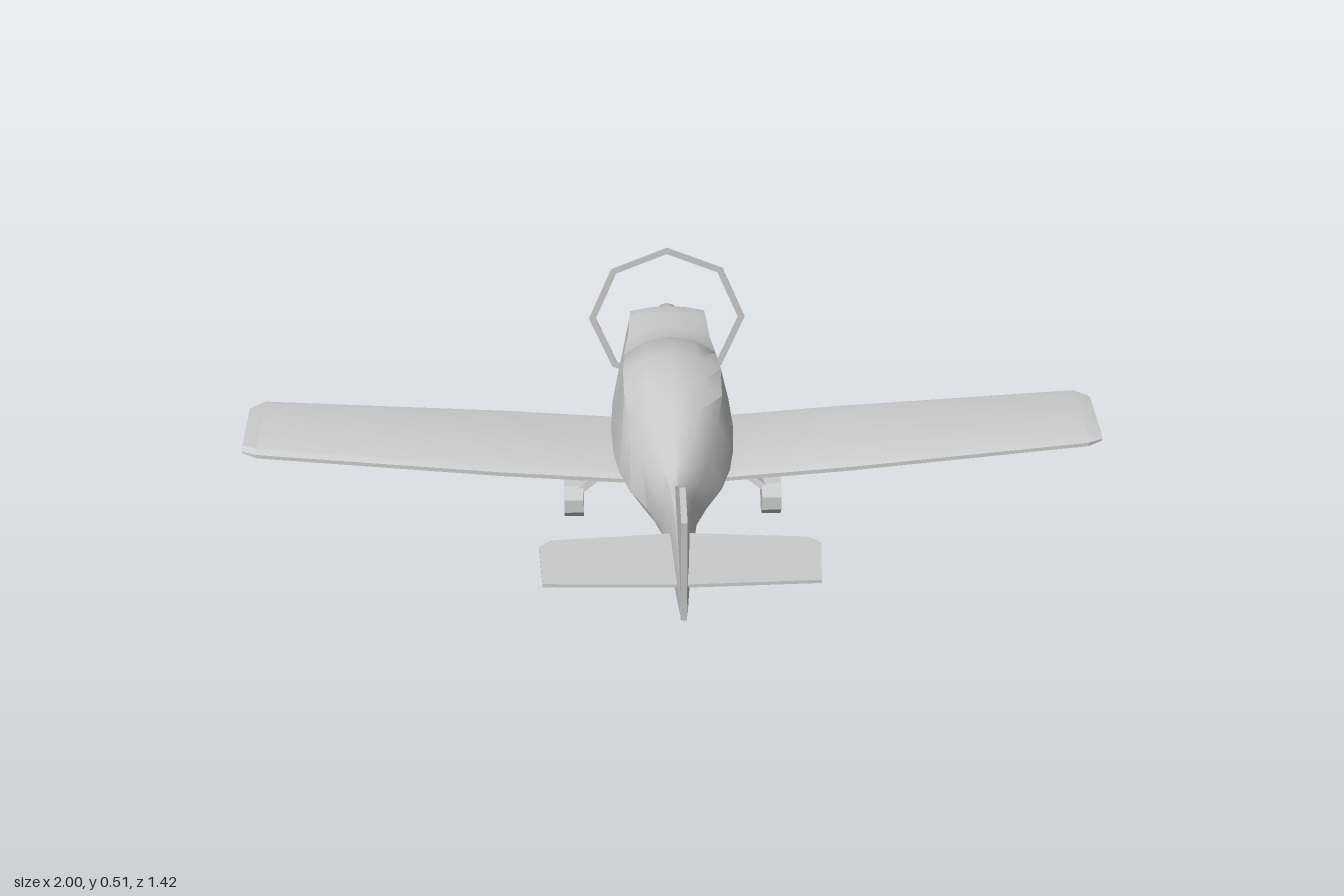
import * as THREE from 'three';
import { toCreasedNormals } from 'three/addons/utils/BufferGeometryUtils.js';

const material = new THREE.MeshStandardMaterial({ color: 0xcccccc });

function add(parent, name, geometry) {
  const mesh = new THREE.Mesh(geometry, material);
  mesh.name = name;
  parent.add(mesh);
  return mesh;
}

// Skins equal-length rings of [x, y, z] points and closes both ends.
function loft(rings, crease) {
  const n = rings[0].length;
  const index = [];
  for (let i = 0; i < rings.length - 1; i++) {
    for (let j = 0; j < n; j++) {
      const k = (j + 1) % n;
      const a = i * n + j, b = i * n + k, c = b + n, d = a + n;
      index.push(a, b, c, a, c, d);
    }
  }
  const last = (rings.length - 1) * n;
  for (let j = 1; j < n - 1; j++) {
    index.push(0, j + 1, j, last, last + j, last + j + 1);
  }
  const geometry = new THREE.BufferGeometry();
  geometry.setAttribute('position', new THREE.Float32BufferAttribute(rings.flat(2), 3));
  geometry.setIndex(index);
  return toCreasedNormals(geometry, crease);
}

// Flat plate from an outline, centred on its thickness.
function plate(points, thickness) {
  const shape = new THREE.Shape(points.map(([x, y]) => new THREE.Vector2(x, y)));
  return new THREE.ExtrudeGeometry(shape, { depth: thickness, bevelEnabled: false })
    .translate(0, 0, -thickness / 2);
}

// Flattened bar between two points.
function strut(parent, name, from, to, width, depth) {
  const a = new THREE.Vector3(...from), b = new THREE.Vector3(...to);
  const mesh = add(parent, name, new THREE.BoxGeometry(width, a.distanceTo(b), depth));
  mesh.position.copy(a).lerp(b, 0.5);
  mesh.quaternion.setFromUnitVectors(new THREE.Vector3(0, 1, 0), b.sub(a).normalize());
}

function fuselage() {
  // z, top, shoulder y, shoulder half width, side y, side half width, low y, low half width, bottom
  const stations = [
    [-0.65, 0.295, 0.285, 0.08, 0.25, 0.085, 0.225, 0.05, 0.21],
    [-0.64, 0.298, 0.288, 0.092, 0.25, 0.095, 0.215, 0.06, 0.19],
    [-0.6, 0.302, 0.29, 0.095, 0.24, 0.102, 0.185, 0.06, 0.167],
    [-0.5, 0.313, 0.29, 0.1, 0.23, 0.117, 0.16, 0.07, 0.14],
    [-0.4, 0.325, 0.295, 0.112, 0.215, 0.131, 0.145, 0.085, 0.125],
    [-0.335, 0.38, 0.335, 0.108, 0.205, 0.14, 0.145, 0.095, 0.133],
    [-0.22, 0.397, 0.355, 0.115, 0.2, 0.145, 0.145, 0.1, 0.135],
    [-0.1, 0.397, 0.35, 0.113, 0.2, 0.14, 0.147, 0.1, 0.135],
    [0, 0.38, 0.325, 0.1, 0.21, 0.128, 0.16, 0.088, 0.147],
    [0.1, 0.357, 0.302, 0.078, 0.22, 0.105, 0.175, 0.07, 0.163],
    [0.2, 0.335, 0.292, 0.05, 0.23, 0.066, 0.19, 0.045, 0.18],
    [0.27, 0.335, 0.292, 0.03, 0.24, 0.042, 0.198, 0.03, 0.188],
    [0.4, 0.345, 0.297, 0.02, 0.25, 0.029, 0.213, 0.02, 0.205],
    [0.56, 0.34, 0.3, 0.012, 0.26, 0.016, 0.231, 0.011, 0.225],
    [0.685, 0.33, 0.3, 0.007, 0.28, 0.008, 0.264, 0.006, 0.26],
  ];
  const rings = stations.map(([z, top, shY, shW, sideY, sideW, lowY, lowW, bottom]) => {
    const half = [[lowW, lowY], [sideW, sideY], [shW, shY], [shW * 0.55, top - (top - shY) * 0.25]];
    const mirrored = half.map(([x, y]) => [-x, y]).reverse();
    return [[0, bottom], ...half, [0, top], ...mirrored].map(([x, y]) => [x, y, z]);
  });
  return loft(rings, 0.75);
}

function wings() {
  // x, leading z, trailing z, top y, thickness
  const half = [
    [0, -0.315, -0.03, 0.17, 0.036],
    [0.4, -0.315, -0.03, 0.202, 0.036],
    [0.965, -0.295, -0.048, 0.248, 0.034],
    [1, -0.27, -0.07, 0.245, 0.025],
  ];
  const stations = [...half.slice(1).reverse().map(([x, ...rest]) => [-x, ...rest]), ...half];
  const rings = stations.map(([x, lead, trail, top, t]) => [
    [x, top - 0.003, lead + 0.008], [x, top, lead + 0.025], [x, top, trail - 0.015],
    [x, top - 0.008, trail], [x, top - t * 0.5, trail],
    [x, top - t, trail - 0.045], [x, top - t, lead + 0.045], [x, top - t * 0.5, lead],
  ]);
  return loft(rings, 0.5);
}

function wheel(parent, name, x, z, width) {
  const geometry = new THREE.CylinderGeometry(0.045, 0.045, width, 8)
    .rotateY(Math.PI / 8).rotateZ(Math.PI / 2);
  add(parent, name, toCreasedNormals(geometry, 0.5)).position.set(x, 0.042, z);
}

export function createModel() {
  const plane = new THREE.Group();
  plane.name = 'airplane';

  add(plane, 'fuselage', fuselage());
  add(plane, 'wings', wings());

  // Tail surfaces
  const fin = plate([[0.24, 0.32], [0.56, 0.24], [0.685, 0.26], [0.71, 0.515], [0.57, 0.515], [0.28, 0.34]], 0.013);
  add(plane, 'tailFin', fin.rotateY(-Math.PI / 2));
  const tip = [[0.28, 0.415], [0.305, 0.44], [0.295, 0.585], [0.1, 0.592]];
  const outline = [[0, 0.392], ...tip, [0, 0.595], ...tip.map(([x, z]) => [-x, z]).reverse()];
  add(plane, 'tailplane', plate(outline, 0.008).rotateX(Math.PI / 2)).position.y = 0.286;

  // Nose cone, pointing to -z
  const profile = [[0.042, 0], [0.037, 0.02], [0.026, 0.05], [0.014, 0.06], [0, 0.061]]
    .map(([r, h]) => new THREE.Vector2(r, h));
  add(plane, 'spinner', new THREE.LatheGeometry(profile, 10).rotateX(-Math.PI / 2))
    .position.set(0, 0.252, -0.65);

  // Eight-sided propeller disc rim
  const ring = (r) => Array.from({ length: 8 }, (_, i) =>
    new THREE.Vector2(r * Math.cos(i * Math.PI / 4), r * Math.sin(i * Math.PI / 4)));
  const rim = new THREE.Shape(ring(0.195));
  rim.holes.push(new THREE.Path(ring(0.178)));
  add(plane, 'propellerRim', new THREE.ExtrudeGeometry(rim, { depth: 0.003, bevelEnabled: false }))
    .position.set(0, 0.252, -0.673);

  // Landing gear
  wheel(plane, 'noseWheel', 0, -0.507, 0.036);
  strut(plane, 'noseStrut', [0, 0.06, -0.503], [0, 0.16, -0.47], 0.024, 0.022);
  for (const [side, s] of [['left', 1], ['right', -1]]) {
    wheel(plane, side + 'MainWheel', s * 0.235, -0.161, 0.046);
    strut(plane, side + 'MainStrut', [s * 0.228, 0.065, -0.155], [s * 0.11, 0.15, -0.183], 0.016, 0.036);
  }
  return plane;
}
